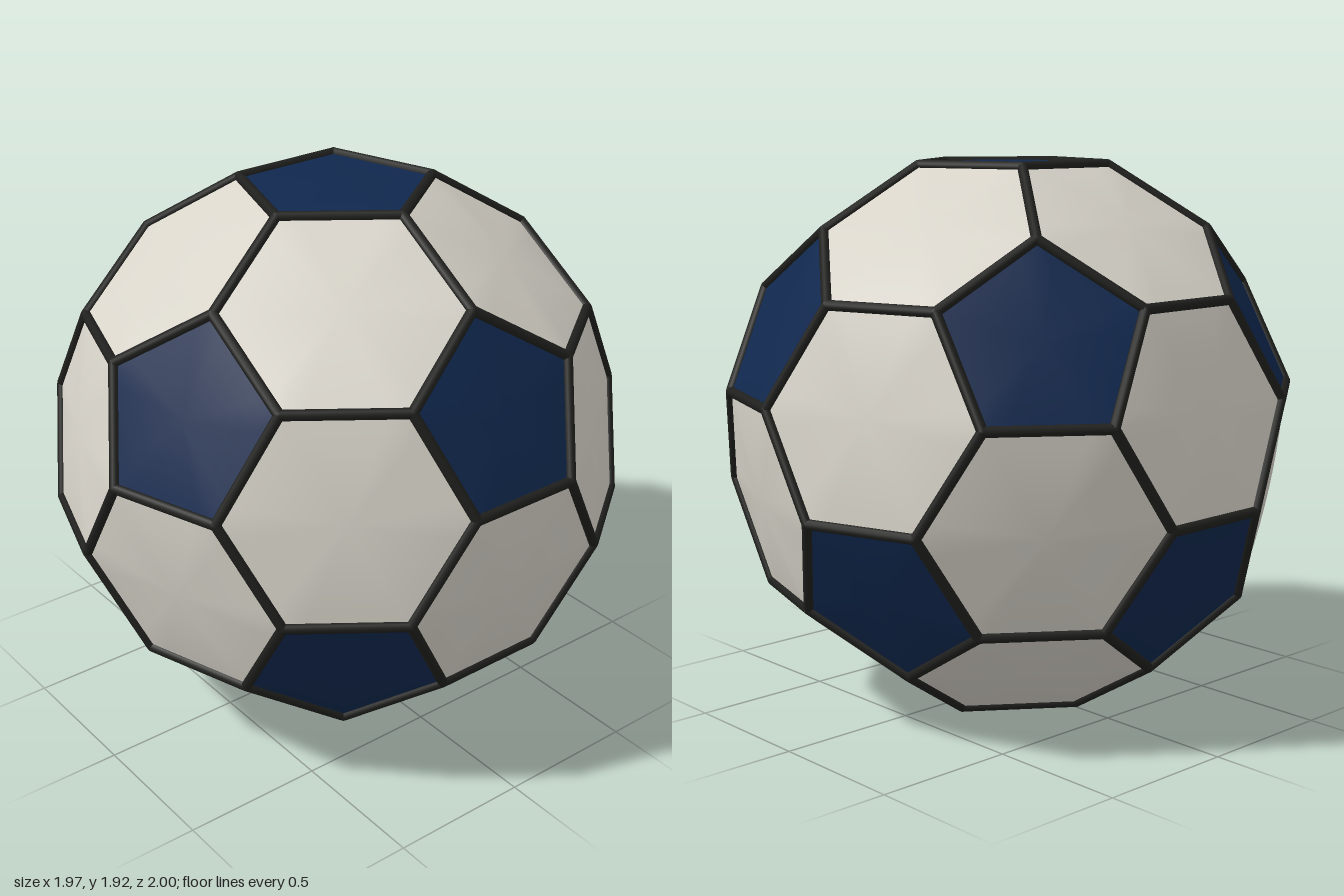
import * as THREE from 'three';
import { mergeGeometries } from 'three/addons/utils/BufferGeometryUtils.js';

const RADIUS = 1.003;   // corner distance of the panel cage
const SEAM = 0.018;     // seam cord radius

const mat = (name, color) => Object.assign(new THREE.MeshStandardMaterial({ color }), { name });

// Corner points of a panel, ordered anticlockwise seen from outside
function orderAround(points) {
  const center = points.reduce((s, p) => s.add(p), new THREE.Vector3()).divideScalar(points.length);
  const normal = center.clone().normalize();
  const u = points[0].clone().sub(center).normalize();
  const v = normal.clone().cross(u);
  const angle = p => { const d = p.clone().sub(center); return Math.atan2(d.dot(v), d.dot(u)); };
  return { center, normal, corners: [...points].sort((a, b) => angle(a) - angle(b)) };
}

// Gently domed polygon panel made of concentric rings
function panelGeometry({ center, normal, corners }, height) {
  const rings = 6, steps = 6, rim = [];
  corners.forEach((c, i) => {
    const next = corners[(i + 1) % corners.length];
    for (let k = 0; k < steps; k++) rim.push(c.clone().lerp(next, k / steps));
  });
  const n = rim.length, pos = [], index = [];
  pos.push(...center.clone().addScaledVector(normal, height).toArray());
  for (let r = 1; r <= rings; r++) {
    const t = r / rings;
    for (const p of rim) {
      pos.push(...center.clone().lerp(p, t).addScaledVector(normal, height * (1 - t * t)).toArray());
    }
  }
  for (let i = 0; i < n; i++) {
    const j = (i + 1) % n;
    index.push(0, 1 + i, 1 + j);
    for (let r = 0; r < rings - 1; r++) {
      const a = 1 + r * n + i, b = 1 + r * n + j;
      index.push(a, a + n, b + n, a, b + n, b);
    }
  }
  const g = new THREE.BufferGeometry();
  g.setAttribute('position', new THREE.Float32BufferAttribute(pos, 3));
  g.setIndex(index);
  g.computeVertexNormals();
  return g;
}

export function createModel() {
  const white = mat('warm white', 0xd8d4ca);
  const navy = mat('navy blue', 0x10284e);
  const black = mat('seam black', 0x1f1f1d);
  const ball = new THREE.Group();
  ball.name = 'ball';

  // Twelve pentagon directions: two poles and two staggered rings
  const poles = [new THREE.Vector3(0, 1, 0), new THREE.Vector3(0, -1, 0)];
  for (let k = 0; k < 10; k++) {
    const a = k * Math.PI / 5, c = 2 / Math.sqrt(5);
    poles.push(new THREE.Vector3(c * Math.cos(a), (k % 2 ? -0.5 : 0.5) * c, c * Math.sin(a)));
  }
  const near = (i, j) => i !== j && poles[i].dot(poles[j]) > 0.4;
  const corner = (i, j) => poles[i].clone().multiplyScalar(2).add(poles[j]).setLength(RADIUS);

  const pentagons = [], hexagons = [], seams = [];
  const straightSeam = (a, b) => {
    const g = new THREE.CylinderGeometry(SEAM, SEAM, a.distanceTo(b), 10, 1, true);
    const dir = b.clone().sub(a).normalize();
    g.applyQuaternion(new THREE.Quaternion().setFromUnitVectors(new THREE.Vector3(0, 1, 0), dir));
    const m = a.clone().lerp(b, 0.5);
    seams.push(g.translate(m.x, m.y, m.z));
  };

  for (let i = 0; i < 12; i++) {
    const around = poles.map((_, j) => j).filter(j => near(i, j));
    const face = orderAround(around.map(j => corner(i, j)));
    pentagons.push(panelGeometry(face, 0.014));
    // Seams round the pentagon, with a round joint at each corner
    face.corners.forEach((p, k) => {
      straightSeam(p, face.corners[(k + 1) % 5]);
      seams.push(new THREE.SphereGeometry(SEAM, 10, 8).translate(p.x, p.y, p.z));
    });
    for (const j of around) {
      if (j < i) continue;
      straightSeam(corner(i, j), corner(j, i));   // seam between two hexagons
      for (const k of around) {
        if (k > j && near(j, k)) {
          hexagons.push(panelGeometry(orderAround([
            corner(i, j), corner(j, i), corner(j, k), corner(k, j), corner(k, i), corner(i, k),
          ]), 0.028));
        }
      }
    }
  }

  const add = (name, parts, material) => {
    const mesh = new THREE.Mesh(mergeGeometries(parts), material);
    mesh.name = name;
    mesh.position.y = 0.96;
    ball.add(mesh);
  };
  add('hexagonPanels', hexagons, white);
  add('pentagonPanels', pentagons, navy);
  add('seams', seams, black);
  return ball;
}
